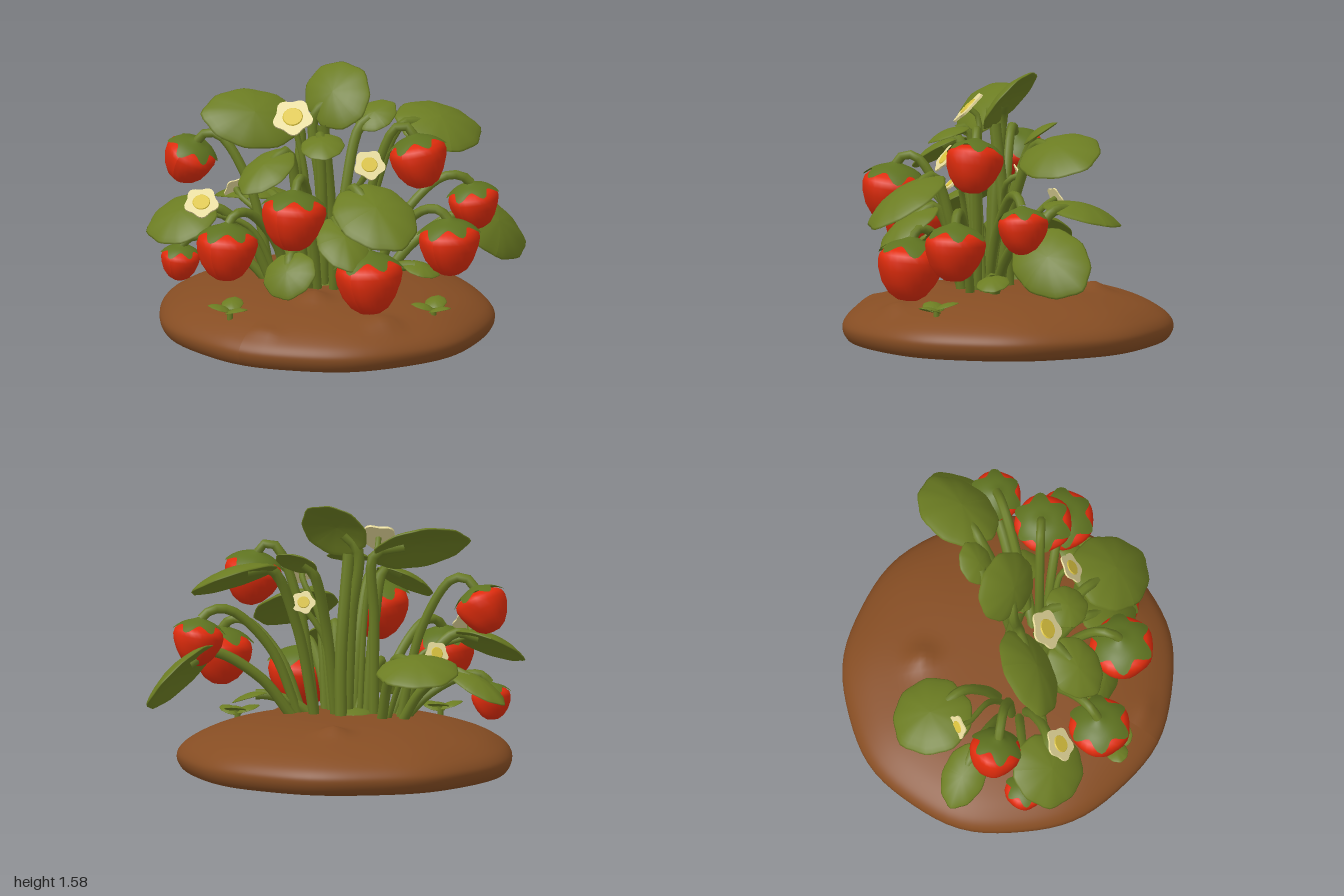
import * as THREE from 'three';

const mat = (name, color, side = THREE.FrontSide) => {
  const m = new THREE.MeshStandardMaterial({ color, side });
  m.name = name;
  return m;
};
const V = (x, y, z) => new THREE.Vector3(x, y, z);

// move every vertex by a rule, then refresh the normals
function reshape(geo, rule) {
  const p = geo.attributes.position, v = V(0, 0, 0);
  for (let i = 0; i < p.count; i++) {
    v.fromBufferAttribute(p, i);
    rule(v);
    p.setXYZ(i, v.x, v.y, v.z);
  }
  geo.computeVertexNormals();
  return geo;
}

// flat-bottomed mound with a slightly uneven rim and soft lumps (x, z, radius, height)
function soilGeometry() {
  const lumps = [[0.17, 0.4, 0.08, 0.045], [-0.2, -0.47, 0.08, 0.045], [0.1, 0.84, 0.05, 0.025], [0.66, 0.42, 0.08, 0.04]];
  const side = [[0.9, 0], [0.95, 0.02], [0.98, 0.07], [0.975, 0.12], [0.92, 0.175], [0.8, 0.235], [0.6, 0.29],
    [0.35, 0.322], [0, 0.33]].map(p => new THREE.Vector2(...p));
  const pts = [new THREE.Vector2(0, 0), ...new THREE.SplineCurve(side).getPoints(48)];
  return reshape(new THREE.LatheGeometry(pts, 80), v => {
    const a = Math.atan2(v.x, v.z), s = 1 + 0.007 * Math.cos(9 * a);
    v.x *= s;
    v.z *= s * 0.975;
    if (v.y > 0.1) for (const [x, z, r, h] of lumps) v.y += h * Math.exp(-((v.x - x) ** 2 + (v.z - z) ** 2) / (r * r));
  });
}

// rounded leaf blade, y is the upper face and +z the tip
function leafGeometry() {
  return reshape(new THREE.SphereGeometry(1, 36, 12), v => {
    const r = Math.hypot(v.x, v.z), a = Math.atan2(v.x, v.z);
    const tip = 0.07 * Math.exp(-a * a * 8), notch = 0.07 * Math.exp(-((Math.PI - Math.abs(a)) ** 2) * 10);
    const s = 0.98 + 0.02 * Math.cos(9 * a) + tip - notch;
    v.y = v.y * 0.09 + 0.1 - 0.22 * r * r;
    v.x *= s;
    v.z *= s;
  });
}

// heart-shaped fruit of radius 1
function berryGeometry() {
  const pts = [[0, -0.95], [0.3, -0.91], [0.56, -0.74], [0.8, -0.41], [0.95, -0.04], [1, 0.25],
    [0.96, 0.44], [0.82, 0.58], [0.5, 0.7], [0, 0.72]].map(p => new THREE.Vector2(...p));
  return reshape(new THREE.LatheGeometry(pts, 28), v => {
    const a = Math.atan2(v.x, v.z), s = 1 + 0.025 * Math.cos(5 * a + v.y * 3);
    v.x *= s;
    v.z *= s;
  });
}

// pointed leafy cap draped over the shoulder of the fruit
function calyxGeometry() {
  const g = new THREE.RingGeometry(0.001, 1, 48, 8).rotateX(-Math.PI / 2);
  return reshape(g, v => {
    const r = Math.hypot(v.x, v.z), a = Math.atan2(v.x, v.z);
    const s = 0.89 + 0.15 * Math.cos(6 * a) + 0.04 * Math.cos(2 * a + 1), q = r * s;
    v.x *= s;
    v.z *= s;
    v.y = 0.9 - 0.41 * q ** 2.6 + 0.12 * Math.exp(-q * q * 20);
  });
}

// five soft petals joined in one outline
function flowerShape() {
  const pts = [];
  for (let i = 0; i < 40; i++) {
    const a = i / 40 * Math.PI * 2, r = 0.1 + 0.01 * Math.cos(5 * a);
    pts.push(new THREE.Vector2(r * Math.cos(a), r * Math.sin(a)));
  }
  return new THREE.Shape(pts);
}

export function createModel() {
  const root = new THREE.Group();
  root.name = 'strawberryPlant';
  const soil = mat('soil brown', 0x864d23), green = mat('leaf green', 0x6b7c22);
  const stemGreen = mat('stem green', 0x697b24), capGreen = mat('calyx green', 0x5e7220, THREE.DoubleSide);
  const red = mat('berry red', 0xe02c0c), petal = mat('petal cream', 0xe8dc9c), yellow = mat('flower yellow', 0xdcc440);

  const add = (name, geo, material, parent = root) => {
    const m = new THREE.Mesh(geo, material);
    m.name = name;
    parent.add(m);
    return m;
  };
  const stem = (pts, r, name) =>
    add(name, new THREE.TubeGeometry(new THREE.CatmullRomCurve3(pts), 18, r, 8), stemGreen);
  const rootOf = c => V(0.02 + c.x * 0.38, 0.27, 0.09 + c.z * 0.22);

  add('soilMound', soilGeometry(), soil);

  // leaf blade placed by centre, facing normal, half length and half width
  const blade = leafGeometry();
  function leaf(c, n, len, wid, out) {
    const up = n.normalize();
    const fwd = out.clone().addScaledVector(up, -out.dot(up)).normalize();
    const m = add('leaf', blade, green);
    m.quaternion.setFromRotationMatrix(new THREE.Matrix4().makeBasis(up.clone().cross(fwd), up, fwd));
    m.position.copy(c);
    m.scale.set(wid, (len + wid) / 2, len);
    return fwd;
  }

  const leaves = [
    [-0.61, 0.69, -0.2, -0.1, 0.96, -0.22, 0.24, 0.245],
    [-0.83, 0.57, 0.11, -0.45, 0.9, 0, 0.2, 0.13],
    [0.05, 1.43, -0.02, 0, 0.6, 0.8, 0.2, 0.235],
    [-0.31, 1.32, 0.3, 0.5, 0.75, 0.45, 0.29, 0.21],
    [0.44, 1.19, -0.53, 0.42, 0.9, 0.1, 0.27, 0.24],
    [0.76, 0.6, -0.62, 0.79, 0.61, -0.05, 0.28, 0.215],
    [-0.63, 0.735, 0.57, -0.1, 0.87, 0.48, 0.22, 0.225],
    [0.58, 0.89, 0.39, 0.35, 0.85, 0.35, 0.28, 0.24],
    [0.09, 0.49, 0.56, 0, 0.6, 0.8, 0.15, 0.17],
    [-0.11, 1.08, 0.49, -0.1, 0.86, 0.5, 0.2, 0.16],
    [0.16, 1.22, 0.3, 0.1, 0.9, 0.3, 0.13, 0.13],
    [0.4, 0.71, 0.45, 0.4, 0.8, 0.35, 0.21, 0.16],
    [0.16, 1.26, -0.28, 0.1, 0.8, 0.55, 0.13, 0.115],
    [0.55, 0.42, -0.16, 0.3, 0.9, 0, 0.11, 0.1]
  ];
  for (const [x, y, z, a, b, d, len, wid] of leaves) {
    const c = V(x, y, z), n = V(a, b, d);
    const fwd = leaf(c, n, len, wid, V(x, 0, z - 0.1));
    const heel = c.clone().addScaledVector(fwd, -len * 0.9).addScaledVector(n, -0.02);
    const b0 = rootOf(c), mid = b0.clone().lerp(heel, 0.42);
    mid.y = b0.y + (heel.y - b0.y) * 0.62;
    stem([b0, mid, heel, c.clone().addScaledVector(fwd, -len * 0.3)], 0.031, 'leafStem');
  }

  // berries: centre, radius, lean of the cap in x and z
  const fruit = berryGeometry(), cap = calyxGeometry();
  const berries = [
    [-0.77, 0.98, 0.28, 0.15, 0.5, 0], [-0.24, 0.61, 0.71, 0.178, 0, -0.1], [0.18, 0.85, 0.65, 0.187, 0, -0.12],
    [0.53, 0.46, 0.38, 0.195, -0.08, -0.05], [0.82, 0.62, -0.04, 0.178, -0.05, 0], [0.6, 1.1, -0.06, 0.168, -0.25, 0],
    [-0.72, 0.41, 0.45, 0.114, 0.1, 0], [0.74, 0.76, -0.44, 0.147, -0.1, 0.1]
  ];
  for (const [x, y, z, r, lx, lz] of berries) {
    const c = V(x, y, z), axis = V(lx, 1, lz).normalize(), g = new THREE.Group();
    g.name = 'berry';
    g.position.copy(c);
    g.quaternion.setFromUnitVectors(V(0, 1, 0), axis);
    g.scale.setScalar(r);
    add('berryFlesh', fruit, red, g);
    add('berryCalyx', cap, capGreen, g);
    root.add(g);
    const top = c.clone().addScaledVector(axis, r * 0.92), b0 = rootOf(c);
    const at = (t, h) => V(b0.x + (top.x - b0.x) * t, h, b0.z + (top.z - b0.z) * t);
    stem([b0, at(0.3, b0.y + (top.y - b0.y) * 0.7), at(0.7, top.y + 0.045), at(0.9, top.y + 0.05), top], 0.028, 'berryStem');
  }

  // flowers: centre, facing normal, scale
  const petals = new THREE.ExtrudeGeometry(flowerShape(), { depth: 0.012, bevelEnabled: false });
  const heart = new THREE.CylinderGeometry(0.05, 0.056, 0.008, 16).rotateX(Math.PI / 2);
  const flowers = [[-0.06, 1.34, 0.27, 0.3, 0.7, 0.63, 1.1], [0.42, 1.11, 0.2, 0.5, 0.6, 0.6, 0.87],
    [-0.5, 0.83, 0.57, 0.3, 0.72, 0.58, 0.95], [-0.63, 0.75, -0.02, -0.75, 0.4, -0.48, 0.68], [0.19, 1, -0.16, -0.5, 0.4, -0.75, 0.65]];
  for (const [x, y, z, a, b, d, s] of flowers) {
    const c = V(x, y, z), n = V(a, b, d).normalize(), g = new THREE.Group();
    g.name = 'flower';
    g.position.copy(c);
    g.quaternion.setFromUnitVectors(V(0, 0, 1), n);
    g.scale.setScalar(s);
    add('flowerPetals', petals, petal, g);
    add('flowerCentre', heart, yellow, g).position.z = 0.014;
    root.add(g);
    const b0 = rootOf(c), mid = b0.clone().lerp(c, 0.4);
    mid.y = b0.y + (y - b0.y) * 0.7;
    stem([b0, mid, c.clone().addScaledVector(n, -0.07), c], 0.018, 'flowerStem');
  }

  // central trunk and crown where the stems meet the soil
  stem([V(0.02, 0.27, -0.02), V(0.03, 0.7, 0), V(0.02, 1.27, 0.07)], 0.036, 'mainStem');
  const crown = add('crown', new THREE.SphereGeometry(0.13, 20, 10), stemGreen);
  crown.position.set(0.02, 0.31, 0.1);
  crown.scale.y = 0.35;

  // tiny sprouts at the edge of the mound
  for (const [x, y, z] of [[0.79, 0.28, 0.09], [-0.18, 0.29, 0.77]]) {
    for (const [i, a] of [0.3, 2.4, 4.4].entries()) {
      const out = V(Math.cos(a), 0, Math.sin(a));
      leaf(V(x, y + 0.01 * i, z).addScaledVector(out, 0.055), out.clone().multiplyScalar(-0.3).add(V(0, 1, 0)), 0.073, 0.065, out);
    }
    stem([V(x, y - 0.08, z), V(x, y - 0.03, z), V(x, y, z)], 0.018, 'sproutStem');
  }
  return root;
}
